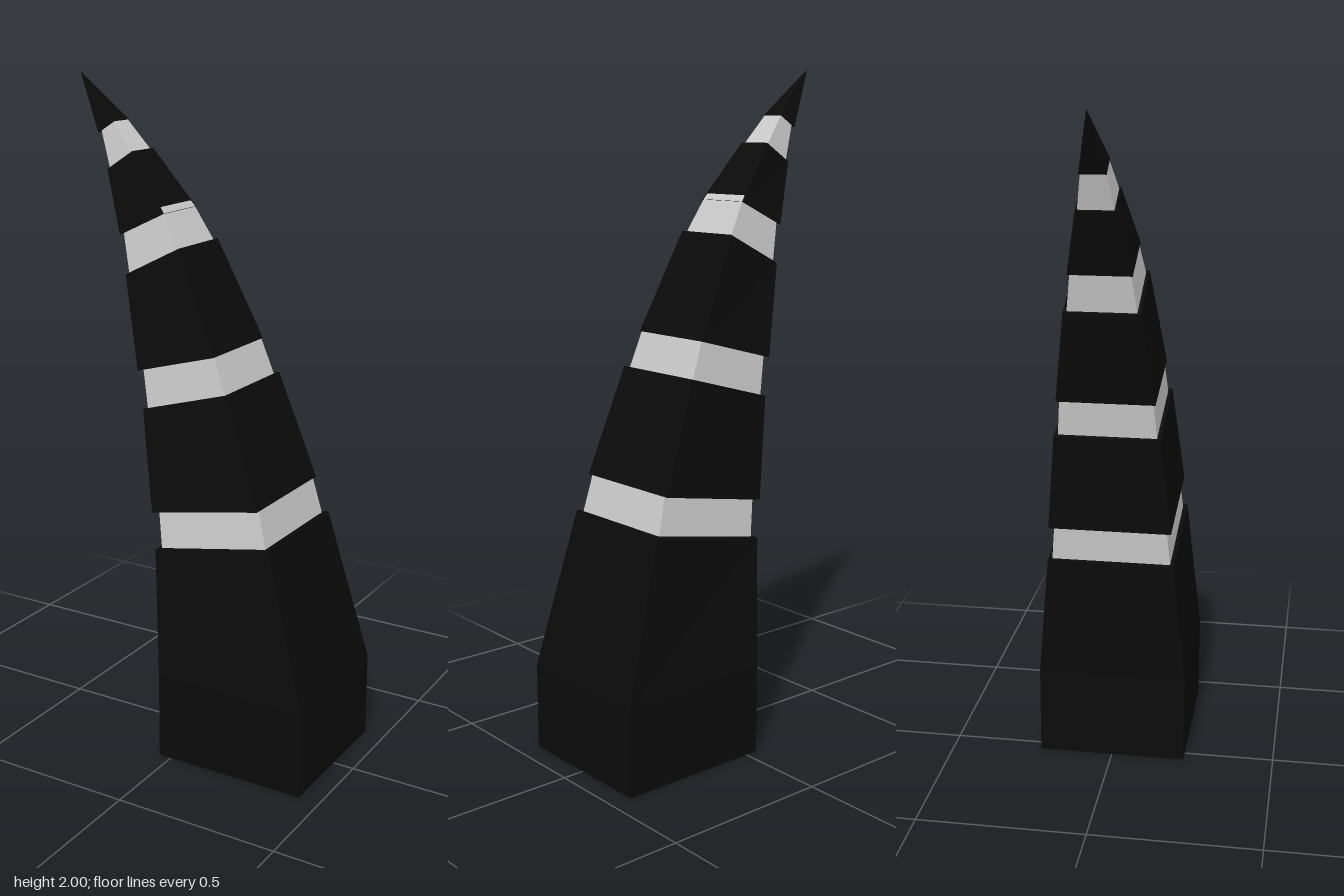
import * as THREE from 'three';

const black = new THREE.MeshStandardMaterial({ color: 0x0b0b0b, flatShading: true });
const grey = new THREE.MeshStandardMaterial({ color: 0xcccccc, flatShading: true });

// Closed loft through rectangular rings: [leftX, leftY, rightX, rightY, halfDepth]
function loft(name, rings, material) {
  const pos = [];
  const quad = (a, b, c, d) => pos.push(...a, ...b, ...c, ...a, ...c, ...d);
  const corners = rings.map(([lx, ly, rx, ry, h]) => [[lx, ly, h], [rx, ry, h], [rx, ry, -h], [lx, ly, -h]]);
  for (let k = 0; k < corners.length - 1; k++) {
    const a = corners[k], b = corners[k + 1];
    for (let i = 0; i < 4; i++) {
      const j = (i + 1) % 4;
      if (rings[k + 1][4] === 0) pos.push(...a[i], ...a[j], ...b[0]);
      else quad(a[i], a[j], b[j], b[i]);
    }
  }
  quad(...[...corners[0]].reverse());
  if (rings.at(-1)[4] > 0) quad(...corners.at(-1));
  const geo = new THREE.BufferGeometry();
  geo.setAttribute('position', new THREE.Float32BufferAttribute(pos, 3));
  geo.computeVertexNormals();
  const mesh = new THREE.Mesh(geo, material);
  mesh.name = name;
  return mesh;
}

export function createModel() {
  const group = new THREE.Group();
  group.name = 'curvedHorn';

  // Dark overlapping segments, from the base to the pointed tip
  const segments = {
    baseSegment: [[-0.04, 0, 0.435, 0, 0.225], [-0.04, 0.27, 0.435, 0.26, 0.225], [-0.07, 0.65, 0.305, 0.72, 0.19]],
    lowerSegment: [[-0.085, 0.76, 0.265, 0.825, 0.183], [-0.13, 1.06, 0.15, 1.14, 0.155]],
    middleSegment: [[-0.155, 1.17, 0.1, 1.24, 0.143], [-0.215, 1.44, -0.035, 1.53, 0.108]],
    upperSegment: [[-0.245, 1.55, -0.097, 1.62, 0.09], [-0.308, 1.73, -0.222, 1.785, 0.055]],
    tip: [[-0.35, 1.83, -0.293, 1.865, 0.037], [-0.435, 2, -0.435, 2, 0]],
  };
  for (const [name, rings] of Object.entries(segments)) group.add(loft(name, rings, black));

  // Pale inner core, showing as bands between the segments
  group.add(loft('core', [
    [-0.045, 0.55, 0.32, 0.6, 0.185],
    [-0.055, 0.655, 0.29, 0.715, 0.178],
    [-0.07, 0.77, 0.262, 0.825, 0.168],
    [-0.12, 1.06, 0.138, 1.135, 0.144],
    [-0.14, 1.175, 0.097, 1.245, 0.135],
    [-0.207, 1.435, -0.043, 1.525, 0.099],
    [-0.235, 1.555, -0.1, 1.625, 0.084],
    [-0.3, 1.725, -0.227, 1.78, 0.051],
    [-0.34, 1.835, -0.297, 1.867, 0.034],
    [-0.355, 1.87, -0.325, 1.89, 0.022],
  ], grey));
  return group;
}
